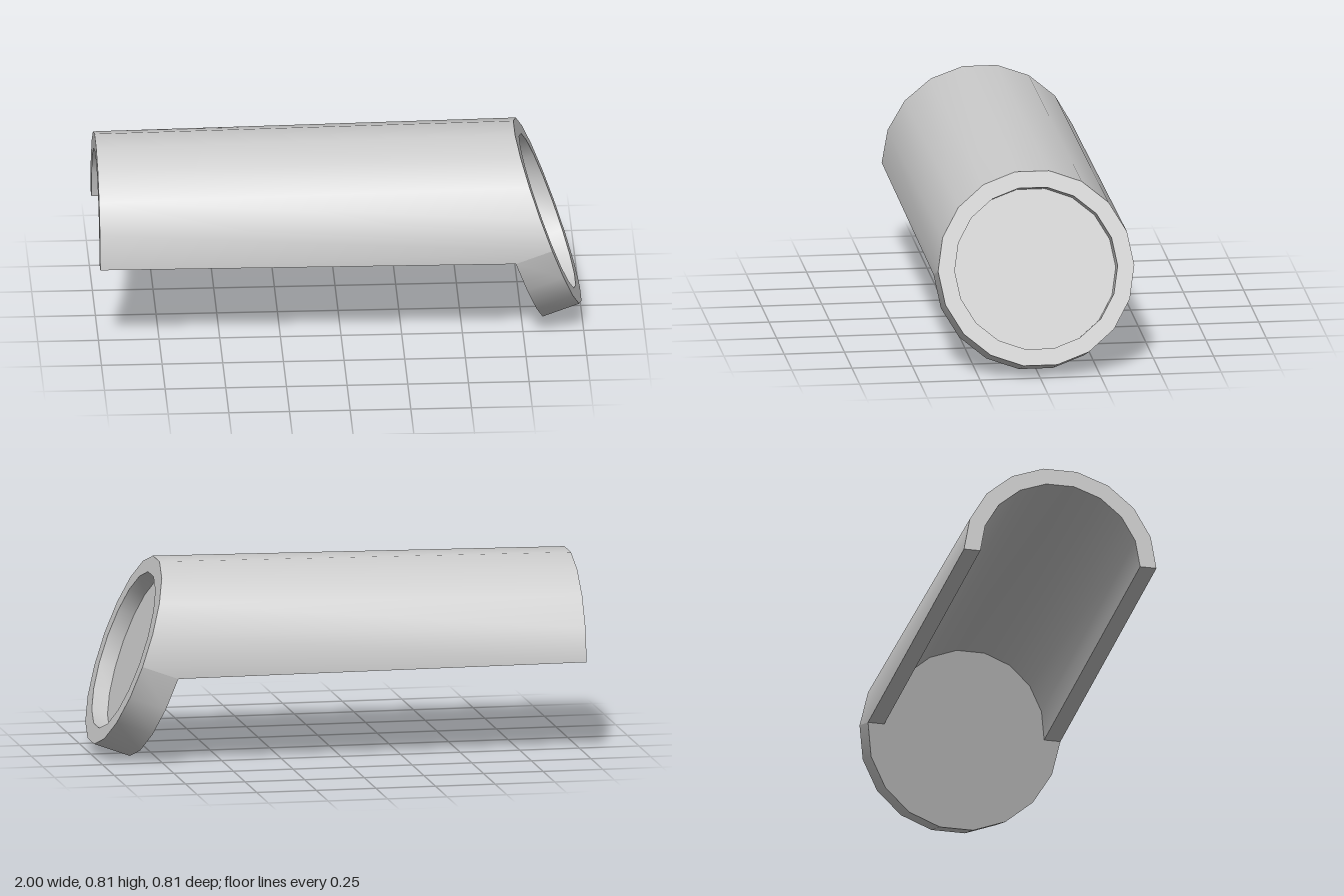
import * as THREE from 'three';
import { toCreasedNormals } from 'three/addons/utils/BufferGeometryUtils.js';

const OUTER = 0.407, INNER = 0.338;      // tube radii
const THICK = 0.16, RECESS = 0.07;       // cap thickness and dish depth
const TILT = THREE.MathUtils.degToRad(20);
const REAR_X = -1, REAR_Y = 0.387;       // axis point at the open end
const NORMAL = new THREE.Vector3(Math.cos(TILT), Math.sin(TILT), 0);
const UP = new THREE.Vector3(-Math.sin(TILT), Math.cos(TILT), 0);
const CENTRE = new THREE.Vector3(0.863, 0.4315, 0);

// Points of an 18-sided ring, angles measured from the top towards +z
function arc(from, to, pointAt) {
  const pts = [];
  for (let a = from; a <= to; a += 20) pts.push(pointAt(THREE.MathUtils.degToRad(a)));
  return pts;
}
// Arc on the tilted cap, at a depth behind its front face
const capArc = (r, depth, from, to) => arc(from, to, a =>
  CENTRE.clone().addScaledVector(NORMAL, -depth).addScaledVector(UP, r * Math.cos(a))
    .add(new THREE.Vector3(0, 0, r * Math.sin(a))));
// Upright arc at the open end
const rearArc = (r) => arc(-90, 90, a =>
  new THREE.Vector3(REAR_X, REAR_Y + r * Math.cos(a), r * Math.sin(a)));

function triangle(out, a, b, c) {
  const area = b.clone().sub(a).cross(c.clone().sub(a)).length();
  if (area > 1e-8) for (const p of [a, b, c]) out.push(p.x, p.y, p.z);
}
// Skin between two rows of points
function strip(out, A, B) {
  for (let i = 0; i < A.length - 1; i++) {
    triangle(out, A[i], B[i], A[i + 1]);
    triangle(out, B[i], B[i + 1], A[i + 1]);
  }
}
function makeMesh(name, positions) {
  const geo = new THREE.BufferGeometry();
  geo.setAttribute('position', new THREE.Float32BufferAttribute(positions, 3));
  const mesh = new THREE.Mesh(toCreasedNormals(geo, 0.55),
    new THREE.MeshStandardMaterial({ color: 0xcccccc }));
  mesh.name = name;
  return mesh;
}

// Half tube, open below, running into the tilted cap
function makeShell() {
  const out = [];
  const rim = capArc(OUTER, 0, -90, 90), back = capArc(OUTER, THICK, -90, 90);
  const innerBack = capArc(INNER, THICK, -90, 90);
  const rearOuter = rearArc(OUTER), rearInner = rearArc(INNER);
  strip(out, rim, rearOuter);
  strip(out, rearInner, innerBack);
  strip(out, rearOuter, rearInner);
  // Long lower edges, and the side triangles that meet the cap
  const n = rim.length - 1;
  strip(out, [rearOuter[n], back[n]], [rearInner[n], innerBack[n]]);
  strip(out, [rearInner[0], innerBack[0]], [rearOuter[0], back[0]]);
  triangle(out, rearOuter[n], back[n], rim[n]);
  triangle(out, rearOuter[0], rim[0], back[0]);
  return makeMesh('halfTubeShell', out);
}

// Tilted round end cap with a shallow dish in its face
function makeCap() {
  const out = [];
  const full = (r, depth) => capArc(r, depth, -90, 270);
  strip(out, full(INNER, 0), full(OUTER, 0));             // face rim
  strip(out, full(INNER, RECESS), full(INNER, 0));        // dish wall
  strip(out, full(0, RECESS), full(INNER, RECESS));       // dish floor
  strip(out, capArc(OUTER, 0, 90, 270), capArc(OUTER, THICK, 90, 270)); // lower side
  strip(out, capArc(OUTER, THICK, 90, 270), capArc(0, THICK, 90, 270)); // back, below
  strip(out, capArc(INNER, THICK, -90, 90), capArc(0, THICK, -90, 90)); // back, in the tube
  return makeMesh('endCap', out);
}

export function createModel() {
  const group = new THREE.Group();
  group.name = 'cappedHalfTube';
  group.add(makeShell(), makeCap());
  return group;
}
